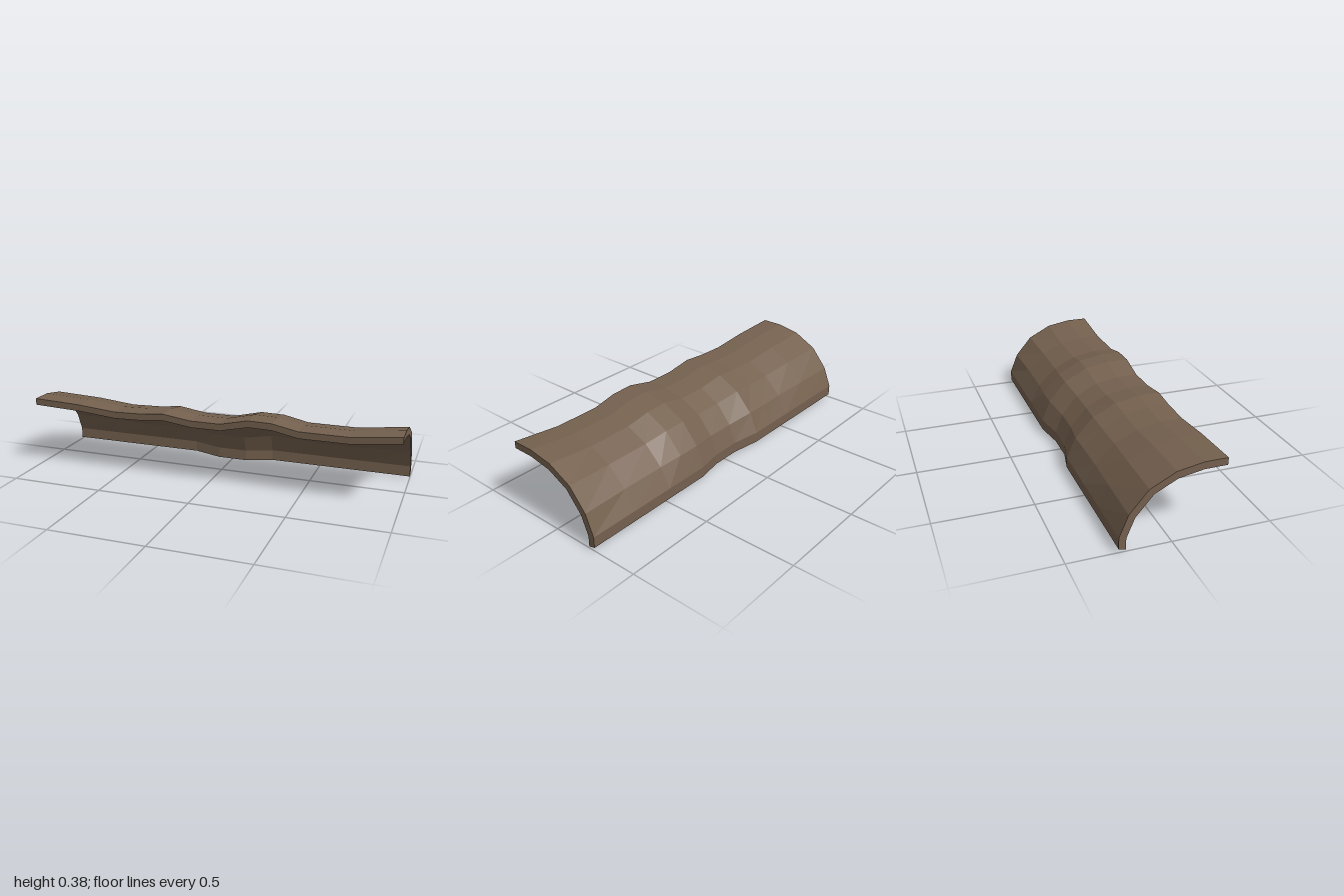
import * as THREE from 'three';

// Quarter-arch cross-section as [z, y], from the front lip over to the back foot
const OUTER = [[0.255, 0.385], [0.14, 0.385], [0.01, 0.362], [-0.117, 0.297], [-0.21, 0.188], [-0.255, 0.078], [-0.255, 0.02]];
const INNER = [[0.254, 0.349], [0.14, 0.348], [0.018, 0.326], [-0.094, 0.269], [-0.18, 0.168], [-0.22, 0.069], [-0.22, 0.011]];

// Stations along the length: [x, dent of the upper rows, dent of the foot]
const STATIONS = [
  [-1, 0, 0], [-0.73, 0.3, 0], [-0.52, 0.83, 0], [-0.36, 0.7, 0], [-0.235, 0.36, 0], [-0.08, 0.95, 0.95],
  [0.08, 0.95, 0.95], [0.23, 0, 0], [0.355, 0.07, 0], [0.49, 0.82, 0], [0.74, 0.82, 0], [1, 0, 0],
];
// How much of the upper dent each row takes; the rest follows the foot
const WEIGHT = [1, 1, 1, 0.9, 0.45, 0, 0];

function createShell() {
  const rows = OUTER.length, ring = rows * 2;
  const positions = [], index = [];

  // Each dent pushes a section inwards through the wall thickness
  for (const [x, top, foot] of STATIONS) {
    const point = (profile, j) => {
      const t = THREE.MathUtils.lerp(foot, top, WEIGHT[j]);
      const dz = INNER[j][0] - OUTER[j][0], dy = INNER[j][1] - OUTER[j][1];
      positions.push(x, profile[j][1] + dy * t, profile[j][0] + dz * t);
    };
    for (let j = 0; j < rows; j++) point(OUTER, j);
    for (let j = rows - 1; j >= 0; j--) point(INNER, j);
  }

  // Skin between neighbouring sections
  for (let i = 0; i < STATIONS.length - 1; i++) {
    for (let k = 0; k < ring; k++) {
      const a = i * ring + k, b = i * ring + (k + 1) % ring;
      const c = b + ring, d = a + ring;
      index.push(a, d, c, a, c, b);
    }
  }

  // End caps
  const last = (STATIONS.length - 1) * ring;
  for (let j = 0; j < rows - 1; j++) {
    const o = j, p = j + 1, q = ring - 1 - j, r = ring - 2 - j;
    index.push(last + o, last + q, last + r, last + o, last + r, last + p);
    index.push(o, r, q, o, p, r);
  }

  const geometry = new THREE.BufferGeometry();
  geometry.setAttribute('position', new THREE.Float32BufferAttribute(positions, 3));
  geometry.setIndex(index);
  const flat = geometry.toNonIndexed();
  flat.computeVertexNormals();
  return flat;
}

export function createModel() {
  const group = new THREE.Group();
  group.name = 'barkPiece';
  const bark = new THREE.MeshStandardMaterial({ color: 0x75614f, flatShading: true });
  bark.name = 'bark brown';
  const shell = new THREE.Mesh(createShell(), bark);
  shell.name = 'curvedBarkShell';
  group.add(shell);
  return group;
}
